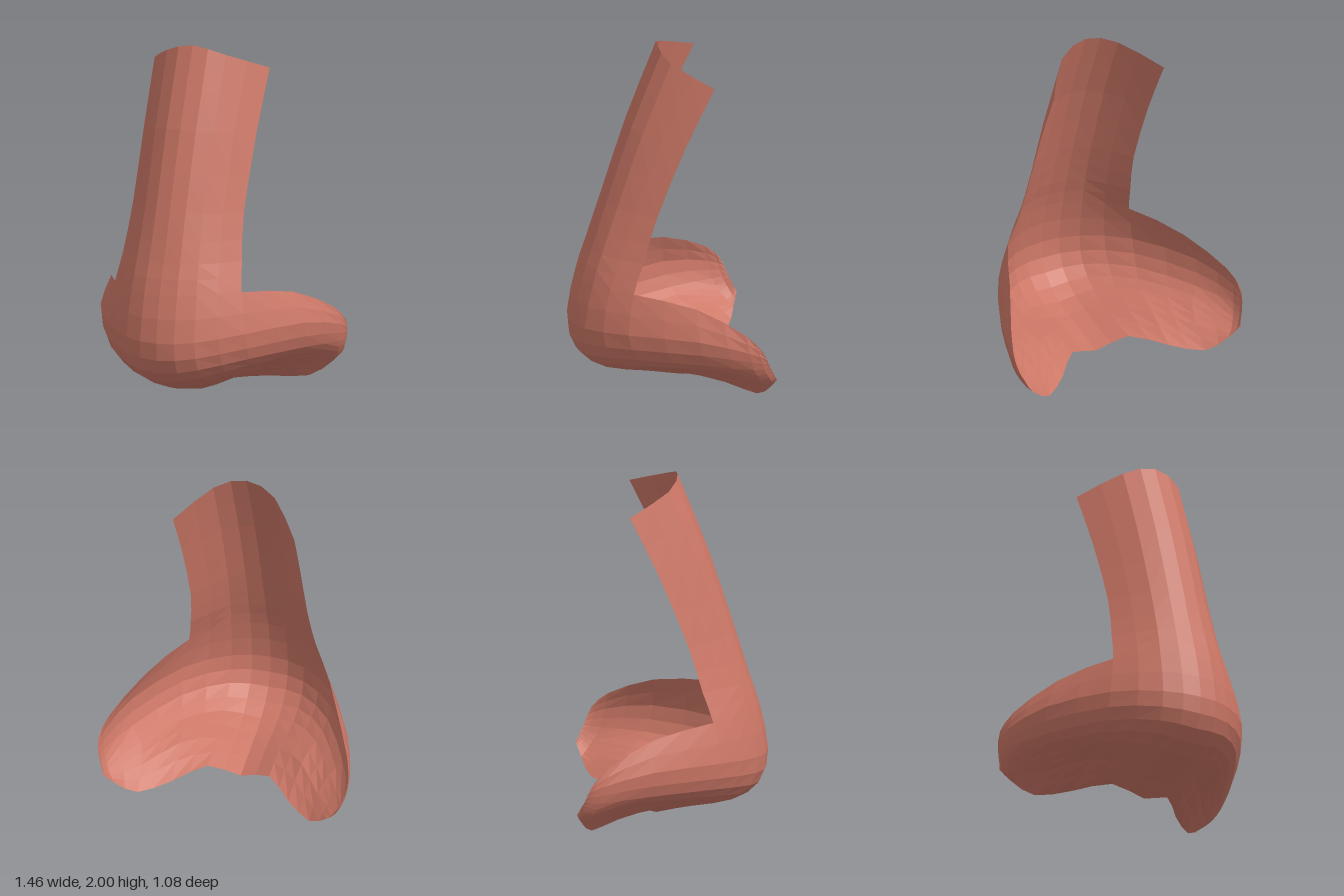
import * as THREE from 'three';

// Guide lines from the centre (x = 0) out to the left edge; mirrored for the right
const bridgeLines = [
  [[0, 2, 0.03], [0.18, 1.95, -0.02], [0.355, 1.85, -0.24]],
  [[0, 1.55, 0.205], [0.18, 1.53, 0.145], [0.345, 1.5, -0.075]],
  [[0, 1.1, 0.35], [0.18, 1.09, 0.29], [0.342, 1.08, 0.09]],
  [[0, 0.82, 0.435], [0.19, 0.82, 0.38], [0.365, 0.82, 0.17]],
];
// Upper edge, widest line, lower turn, underside, nostril hollow, rear lower edge
const upperEdge = [[0, 0.65, 0.49], [0.2, 0.65, 0.43], [0.39, 0.65, 0.23], [0.56, 0.605, -0.1], [0.695, 0.48, -0.36], [0.73, 0.39, -0.45]];
const widest = [[0, 0.38, 0.54], [0.21, 0.39, 0.48], [0.43, 0.42, 0.265], [0.63, 0.43, -0.11], [0.72, 0.38, -0.38], [0.728, 0.34, -0.475]];
const lowerTurn = [[0, 0.2, 0.495], [0.21, 0.225, 0.44], [0.425, 0.265, 0.21], [0.61, 0.28, -0.15], [0.71, 0.275, -0.405], [0.715, 0.285, -0.497]];
const underside = [[0, 0.09, 0.34], [0.2, 0.135, 0.3], [0.39, 0.19, 0.09], [0.55, 0.21, -0.215], [0.685, 0.205, -0.445], [0.7, 0.25, -0.515]];
const hollow = [[0, 0.04, 0.11], [0.18, 0.105, 0.08], [0.355, 0.16, -0.09], [0.515, 0.145, -0.325], [0.655, 0.16, -0.48], [0.688, 0.222, -0.527]];
const rearEdge = [[0, 0, -0.09], [0.18, 0.07, -0.14], [0.34, 0.06, -0.32], [0.5, 0.05, -0.455], [0.62, 0.13, -0.51], [0.68, 0.2, -0.54]];
const bowlLines = [upperEdge, widest, lowerTurn, underside, hollow, rearEdge];

const STEP = 2; // facets per guide span

const smooth = pts => new THREE.CatmullRomCurve3(pts, false, 'catmullrom', 0.5);

// Sample a half line and its mirror image as one smooth curve
function mirroredRow(half) {
  const left = half.map(p => new THREE.Vector3(...p));
  const right = left.slice(1).reverse().map(p => new THREE.Vector3(-p.x, p.y, p.z));
  return smooth([...right, ...left]).getPoints((half.length - 1) * 2 * STEP);
}

// Join columns of points, ordered right to left and top to bottom, into a skin
function skin(columns, material, name) {
  const rows = columns[0].length;
  const positions = columns.flatMap(c => c.flatMap(p => [p.x, p.y, p.z]));
  const index = [];
  for (let i = 0; i < columns.length - 1; i++) {
    for (let j = 0; j < rows - 1; j++) {
      const a = i * rows + j, c = a + rows;
      // Mirror the diagonal so both halves match
      if (i < (columns.length - 1) / 2) index.push(a, a + 1, c, c, a + 1, c + 1);
      else index.push(a, a + 1, c + 1, a, c + 1, c);
    }
  }
  const geometry = new THREE.BufferGeometry();
  geometry.setAttribute('position', new THREE.Float32BufferAttribute(positions, 3));
  geometry.setIndex(index);
  geometry.computeVertexNormals();
  const mesh = new THREE.Mesh(geometry, material);
  mesh.name = name;
  return mesh;
}

export function createModel() {
  const group = new THREE.Group();
  group.name = 'nose';
  const skinTone = new THREE.MeshStandardMaterial({
    color: 0xcc7766, flatShading: true, side: THREE.DoubleSide,
  });
  skinTone.name = 'skin';

  const bridgeRows = bridgeLines.map(mirroredRow);
  const bowlRows = bowlLines.map(mirroredRow);
  const offset = (bowlRows[0].length - bridgeRows[0].length) / 2;
  const bridgeSpan = bridgeLines.length * STEP;

  // Profiles run down the bridge and curl under; the wings have only the lower part
  const bridgeColumns = [], bowlColumns = [];
  for (let i = 0; i < bowlRows[0].length; i++) {
    const lower = bowlRows.map(r => r[i]);
    const b = i - offset;
    const inBridge = b >= 0 && b < bridgeRows[0].length;
    if (inBridge) {
      const points = [...bridgeRows.map(r => r[b]), ...lower];
      const profile = smooth(points).getPoints((points.length - 1) * STEP);
      bridgeColumns.push(profile.slice(0, bridgeSpan + 1));
      bowlColumns.push(profile.slice(bridgeSpan));
    } else {
      bowlColumns.push(smooth(lower).getPoints((lower.length - 1) * STEP));
    }
  }

  group.add(skin(bridgeColumns, skinTone, 'bridge'));
  group.add(skin(bowlColumns, skinTone, 'tipAndNostrils'));
  return group;
}
